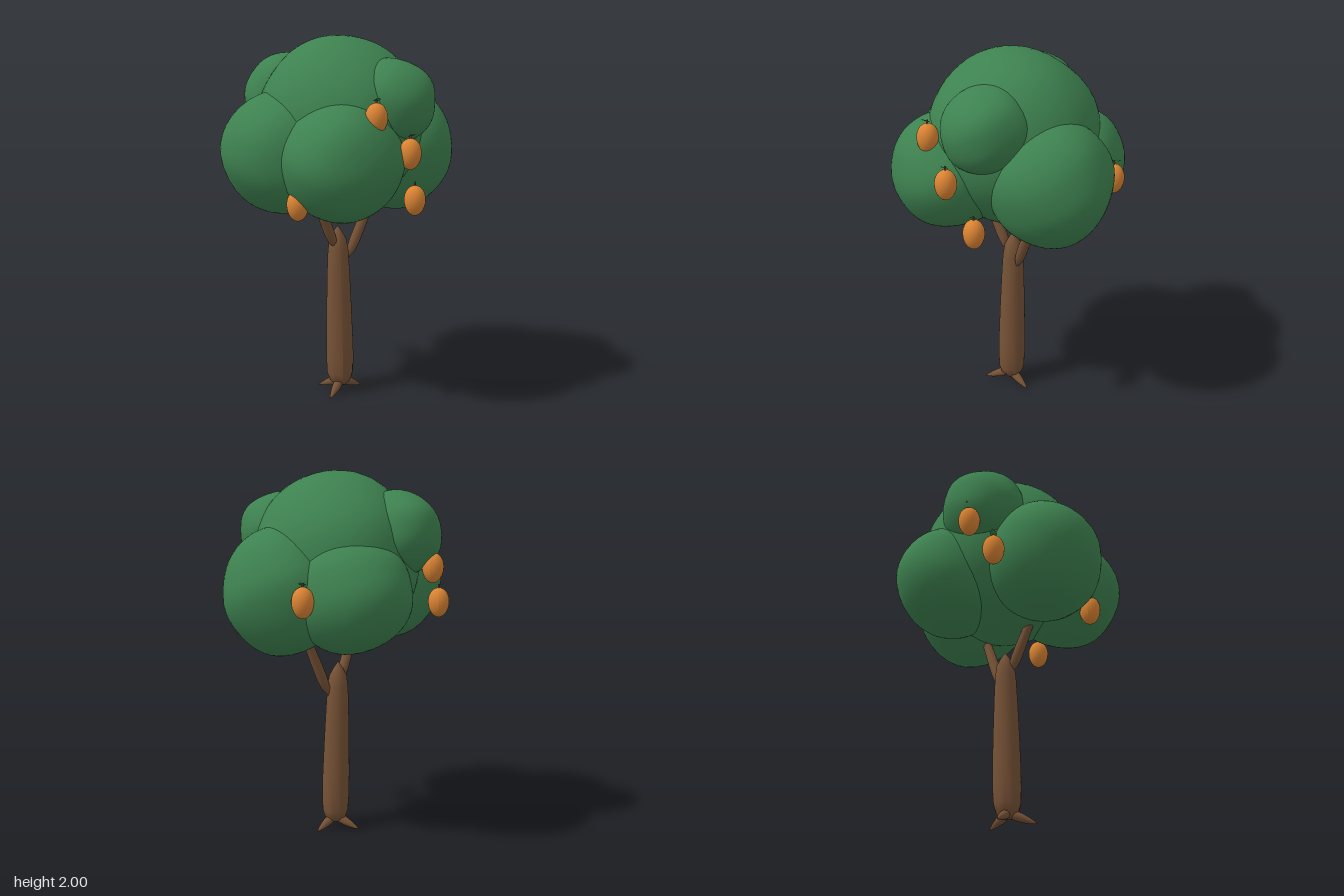
import * as THREE from 'three';
import { mergeVertices } from 'three/addons/utils/BufferGeometryUtils.js';

const mat = (name, color, side = THREE.FrontSide) => {
  const m = new THREE.MeshStandardMaterial({ color, side });
  m.name = name;
  return m;
};

// Smooth sphere made lumpy by a few low waves
function lumpyGeometry(rx, ry, rz, seed, bump) {
  let g = new THREE.IcosahedronGeometry(1, 9);
  g.deleteAttribute('normal');
  g.deleteAttribute('uv');
  g = mergeVertices(g, 1e-4);
  const p = g.attributes.position;
  const v = new THREE.Vector3();
  for (let i = 0; i < p.count; i++) {
    v.fromBufferAttribute(p, i).normalize();
    const n = Math.sin(3.7 * v.x + seed) * Math.cos(3.3 * v.y - 1.7 * seed)
      + 0.6 * Math.sin(5.1 * v.z + 2.3 * seed + 2 * v.x)
      + 0.35 * Math.sin(7.3 * v.y + seed * 3.1 + 4 * v.z);
    v.multiplyScalar(1 + bump * n);
    p.setXYZ(i, v.x * rx, v.y * ry, v.z * rz);
  }
  g.computeVertexNormals();
  return g;
}

export function createModel() {
  const tree = new THREE.Group();
  tree.name = 'fruitTree';
  const bark = mat('bark brown', 0x765236);
  const foliage = mat('foliage green', 0x3e8250);
  const peel = mat('fruit orange', 0xdb8433);
  const leafGreen = mat('leaf green', 0x3a8048, THREE.DoubleSide);

  const add = (parent, name, geometry, material) => {
    const m = new THREE.Mesh(geometry, material);
    m.name = name;
    parent.add(m);
    return m;
  };

  // Trunk: fluted at the foot, leaning slightly, ending in a point
  const profile = [[0.001, 0.035], [0.035, 0.045], [0.06, 0.075], [0.073, 0.115], [0.077, 0.2], [0.075, 0.32],
    [0.07, 0.5], [0.063, 0.7], [0.057, 0.82], [0.048, 0.885], [0.025, 0.93], [0.001, 0.965]];
  const trunk = new THREE.LatheGeometry(profile.map(([r, y]) => new THREE.Vector2(r, y)), 32);
  const tp = trunk.attributes.position;
  for (let i = 0; i < tp.count; i++) {
    const x = tp.getX(i), y = tp.getY(i), z = tp.getZ(i);
    const flute = 1 + 0.05 * Math.max(0, 1 - y / 0.3) * Math.cos(8 * Math.atan2(z, x));
    tp.setXYZ(i, x * flute - 0.013 * y, y, z * flute - 0.004 - 0.018 * y);
  }
  trunk.computeVertexNormals();
  add(tree, 'trunk', trunk, bark);

  // Tapered limb between two points, used for branches and roots
  const up = new THREE.Vector3(0, 1, 0);
  function limb(name, from, to, radii) {
    const a = new THREE.Vector3(...from), b = new THREE.Vector3(...to);
    const len = a.distanceTo(b);
    const pts = radii.map((r, i) => new THREE.Vector2(r, len * i / (radii.length - 1)));
    const m = add(tree, name, new THREE.LatheGeometry(pts, 14), bark);
    m.position.copy(a);
    m.quaternion.setFromUnitVectors(up, b.sub(a).normalize());
  }
  const branchRadii = [0.001, 0.024, 0.029, 0.029, 0.028, 0.026, 0.024, 0.021, 0.018, 0.001];
  limb('rightBranch', [-0.03, 0.84, 0], [-0.19, 1.23, 0.1], branchRadii);
  limb('leftBranch', [0.04, 0.77, -0.018], [0.25, 1.25, -0.065], branchRadii);

  const rootRadii = [0.001, 0.017, 0.023, 0.025, 0.023, 0.018, 0.011, 0.001];
  for (const [x, z] of [[-0.105, -0.105], [-0.09, 0.125], [0.13, -0.05]]) {
    limb('root', [-x * 0.25, 0.09, -z * 0.25], [x, 0.006, z], rootRadii);
  }

  // Crown: one large dome, four side clumps and two upper clumps
  const clumps = [
    ['crownCenter', 0, 1.53, -0.015, 0.455, 0.47, 0.465, 0.012],
    ['crownFront', -0.07, 1.375, 0.305, 0.32, 0.315, 0.325, 0.02],
    ['crownLeft', 0.325, 1.38, -0.085, 0.325, 0.34, 0.33, 0.02],
    ['crownRight', -0.325, 1.395, 0.06, 0.325, 0.325, 0.32, 0.02],
    ['crownBack', 0.04, 1.37, -0.315, 0.315, 0.31, 0.315, 0.02],
    ['crownUpperFront', 0.22, 1.665, 0.22, 0.23, 0.23, 0.23, 0.025],
    ['crownUpperBack', -0.255, 1.67, -0.25, 0.23, 0.23, 0.225, 0.025],
  ];
  clumps.forEach(([name, x, y, z, rx, ry, rz, bump], i) => {
    add(tree, name, lumpyGeometry(rx, ry, rz, 1.3 * i + 0.5, bump), foliage).position.set(x, y, z);
  });

  // Fruit: egg-shaped body, short stem and one small leaf
  const body = new THREE.SphereGeometry(1, 24, 16);
  const bp = body.attributes.position;
  for (let i = 0; i < bp.count; i++) {
    const y = bp.getY(i), w = 0.057 * (1 + 0.06 * y);
    bp.setXYZ(i, bp.getX(i) * w, y * 0.08, bp.getZ(i) * w);
  }
  body.computeVertexNormals();
  const stem = new THREE.CylinderGeometry(0.004, 0.006, 0.03, 8);
  const leafShape = new THREE.Shape();
  leafShape.moveTo(0, 0);
  leafShape.quadraticCurveTo(0.036, 0.016, 0, 0.055);
  leafShape.quadraticCurveTo(-0.036, 0.016, 0, 0);
  const leaf = new THREE.ShapeGeometry(leafShape, 8);
  leaf.rotateX(1.2);

  const fruits = [[0.07, 1.61, 0.48], [0.255, 1.425, 0.455], [0.32, 1.16, 0.335], [-0.305, 1.165, 0.355],
    [-0.39, 1.5, -0.39], [-0.485, 1.3, -0.29], [0.36, 1.36, -0.43]];
  for (const [x, y, z] of fruits) {
    const fruit = new THREE.Group();
    fruit.name = 'fruit';
    add(fruit, 'fruitBody', body, peel);
    add(fruit, 'fruitStem', stem, bark).position.y = 0.085;
    add(fruit, 'fruitLeaf', leaf, leafGreen).position.set(0, 0.086, -0.015);
    fruit.position.set(x, y, z);
    fruit.rotation.y = Math.atan2(x, z);
    tree.add(fruit);
  }
  return tree;
}
